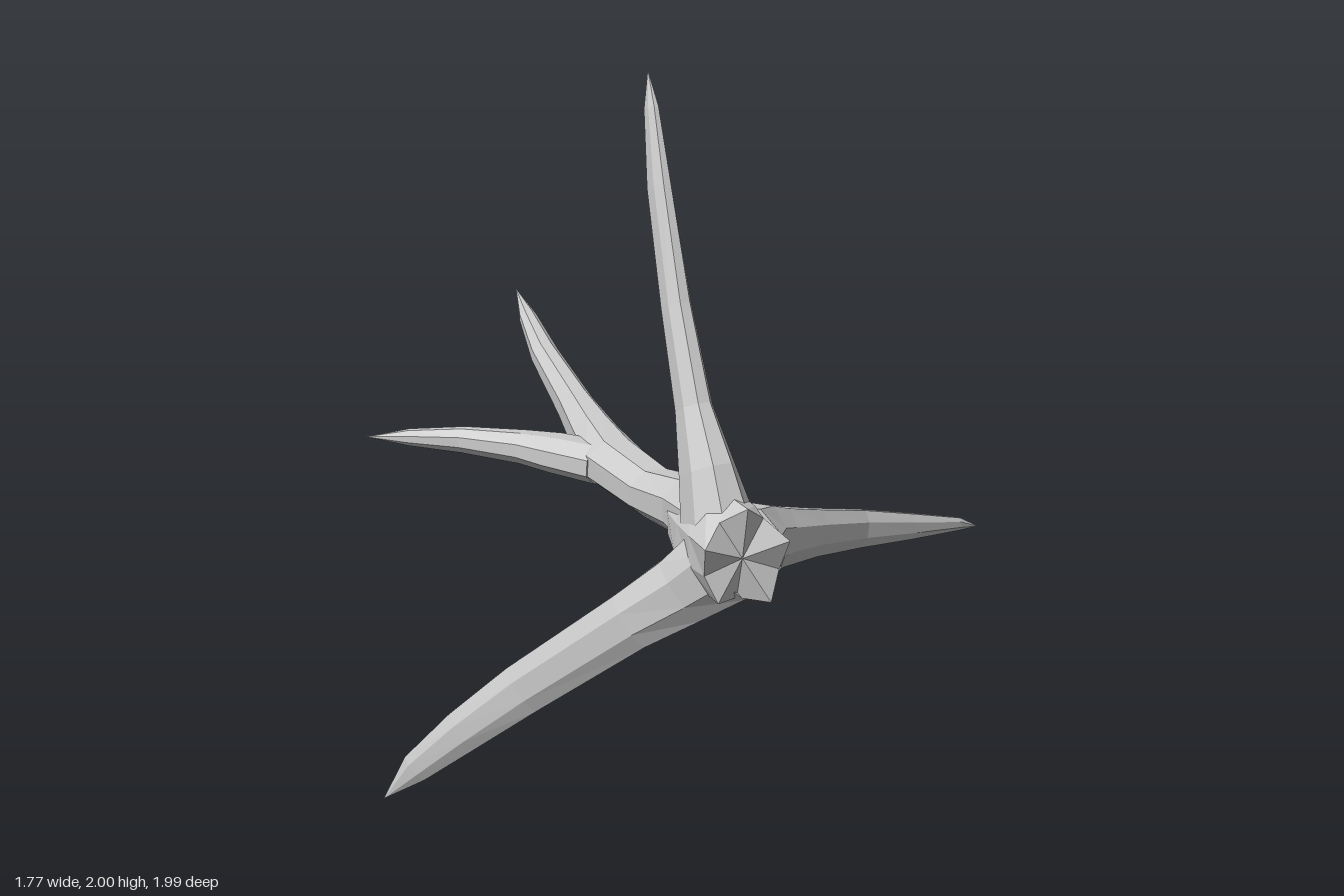
import * as THREE from 'three';

const material = new THREE.MeshStandardMaterial({ color: 0xcccccc, flatShading: true });

// Faceted tapering tube. Each ring is [x, y, z, half width, half height];
// jag(i, j) may return [radius factor, shift along the path] for a corner.
function loft(name, rings, { up = [0, 1, 0], sides = 8, jag = () => [1, 0], capDepth = 0 } = {}) {
  const centres = rings.map(r => new THREE.Vector3(r[0], r[1], r[2]));
  const upDir = new THREE.Vector3(...up);
  const along = centres.map((c, i) => centres[Math.min(i + 1, centres.length - 1)].clone()
    .sub(centres[Math.max(i - 1, 0)]).normalize());
  const corners = rings.map((r, i) => {
    const s = along[i].clone().cross(upDir).normalize();
    const n = s.clone().cross(along[i]);
    return Array.from({ length: sides }, (_, j) => {
      const t = ((j + 0.5) / sides) * Math.PI * 2;
      const [k, shift] = jag(i, j);
      return centres[i].clone()
        .addScaledVector(s, Math.cos(t) * r[3] * k)
        .addScaledVector(n, Math.sin(t) * r[4] * k)
        .addScaledVector(along[i], shift);
    });
  });
  const points = [];
  const last = rings.length - 1;
  const capCentre = centres[0].clone().addScaledVector(along[0], capDepth);
  for (let j = 0; j < sides; j++) {
    const m = (j + 1) % sides;
    points.push(capCentre, corners[0][j], corners[0][m]);
    for (let i = 0; i < last; i++) {
      const a = corners[i][j], b = corners[i][m], c = corners[i + 1][j], d = corners[i + 1][m];
      points.push(a, c, b);
      if (rings[i + 1][3] > 0) points.push(b, c, d);
    }
    if (rings[last][3] > 0) points.push(centres[last], corners[last][m], corners[last][j]);
  }
  const geometry = new THREE.BufferGeometry().setFromPoints(points);
  geometry.computeVertexNormals();
  const mesh = new THREE.Mesh(geometry, material);
  mesh.name = name;
  return mesh;
}

export function createModel() {
  const group = new THREE.Group();
  group.name = 'antler';

  // Knobbly base with a dented, star-shaped front
  const bumps = [0, 0.045, 0.01, 0.05, 0, 0.035, 0.015, 0.055, 0, 0.03];
  group.add(loft('base', [
    [-0.215, 0.805, 0.985, 0.115, 0.135],
    [-0.205, 0.815, 0.87, 0.115, 0.13],
    [-0.19, 0.82, 0.76, 0.11, 0.125],
    [-0.18, 0.83, 0.64, 0.085, 0.1],
  ], {
    sides: 10,
    capDepth: 0.03,
    jag: (i, j) => (i === 0 ? [1.08 - bumps[j] * 4, bumps[j]] : [1 + bumps[(j + i) % 10], 0]),
  }));

  // Long beam running backwards
  group.add(loft('mainBeam', [
    [-0.19, 0.855, 0.76, 0.1, 0.1],
    [-0.175, 0.855, 0.6, 0.09, 0.085],
    [-0.18, 0.848, 0.4, 0.085, 0.07],
    [-0.18, 0.875, 0.15, 0.092, 0.075],
    [-0.145, 0.905, -0.05, 0.072, 0.072],
    [-0.11, 0.95, -0.25, 0.055, 0.06],
    [-0.07, 1.045, -0.55, 0.043, 0.042],
    [-0.02, 1.115, -0.78, 0.028, 0.025],
    [0.035, 1.165, -0.99, 0, 0],
  ]));

  // Short tine forking off the beam
  group.add(loft('beamTine', [
    [-0.2, 0.87, 0.11, 0.09, 0.06],
    [-0.285, 0.88, -0.02, 0.082, 0.056],
    [-0.355, 0.89, -0.09, 0.06, 0.048],
    [-0.48, 0.895, -0.225, 0.042, 0.038],
    [-0.61, 0.897, -0.315, 0.033, 0.024],
    [-0.72, 0.898, -0.37, 0, 0],
  ]));

  // Three long tines spreading from the base
  group.add(loft('upperTine', [
    [-0.21, 0.84, 0.83, 0.1, 0.12],
    [-0.22, 1.0, 0.775, 0.07, 0.1],
    [-0.22, 1.15, 0.7, 0.046, 0.068],
    [-0.215, 1.4, 0.59, 0.037, 0.057],
    [-0.207, 1.7, 0.475, 0.028, 0.052],
    [-0.197, 1.9, 0.41, 0.017, 0.032],
    [-0.195, 2.0, 0.385, 0, 0],
  ], { up: [0, 0, 1] }));

  group.add(loft('leftTine', [
    [-0.13, 0.79, 0.81, 0.115, 0.115],
    [-0.03, 0.78, 0.725, 0.08, 0.1],
    [0.05, 0.767, 0.69, 0.055, 0.086],
    [0.2, 0.742, 0.617, 0.04, 0.07],
    [0.4, 0.705, 0.522, 0.032, 0.057],
    [0.6, 0.672, 0.462, 0.025, 0.04],
    [0.8, 0.641, 0.407, 0.015, 0.02],
    [0.88, 0.62, 0.39, 0, 0],
  ]));

  group.add(loft('rightTine', [
    [-0.22, 0.775, 0.86, 0.085, 0.12],
    [-0.3, 0.69, 0.785, 0.06, 0.1],
    [-0.4, 0.595, 0.69, 0.045, 0.085],
    [-0.6, 0.365, 0.445, 0.038, 0.076],
    [-0.72, 0.225, 0.315, 0.034, 0.064],
    [-0.82, 0.1, 0.21, 0.023, 0.045],
    [-0.89, 0.0, 0.145, 0, 0],
  ]));

  return group;
}
